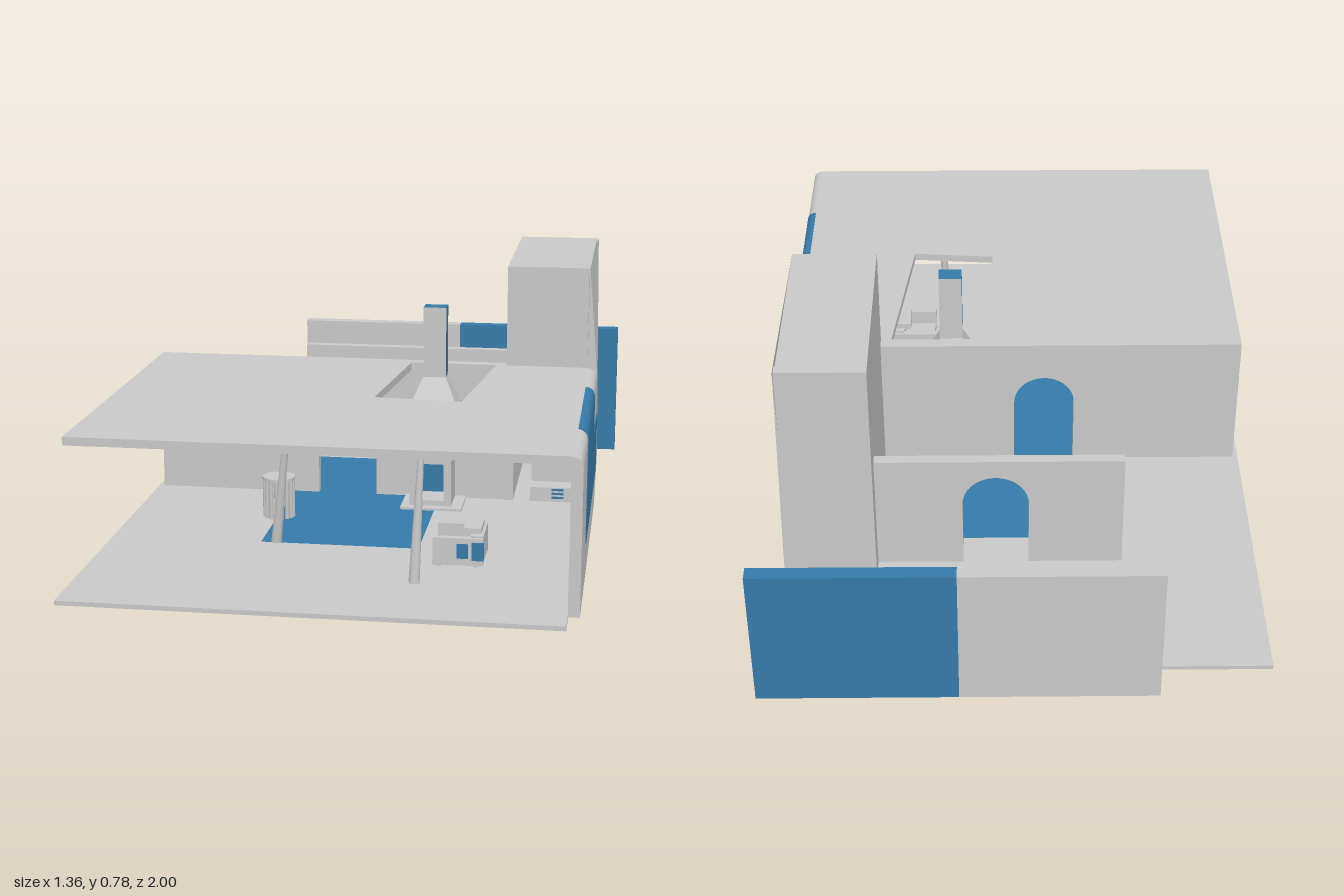
import * as THREE from 'three';

const grey = new THREE.MeshStandardMaterial({ color: 0xc8c8c8 });
grey.name = 'plaster grey';
const blue = new THREE.MeshStandardMaterial({ color: 0x367aa8 });
blue.name = 'accent blue';

export function createModel() {
  const model = new THREE.Group();
  model.name = 'house';

  const add = (name, geo, mat = grey, parent = model) => {
    const m = new THREE.Mesh(geo, mat);
    m.name = name;
    parent.add(m);
    return m;
  };
  // box from min/max limits
  const box = (name, x0, x1, y0, y1, z0, z1, mat = grey, parent = model) => {
    const g = new THREE.BoxGeometry(x1 - x0, y1 - y0, z1 - z0);
    g.translate((x0 + x1) / 2, (y0 + y1) / 2, (z0 + z1) / 2);
    return add(name, g, mat, parent);
  };
  const poly = pts => pts.map(p => new THREE.Vector2(...p));
  const extrude = (shape, depth) =>
    new THREE.ExtrudeGeometry(shape, { depth, bevelEnabled: false, curveSegments: 12 });
  // horizontal slab: outline in x,z, top at y
  const slab = (name, outline, hole, top, depth) => {
    const s = new THREE.Shape(poly(outline));
    s.holes.push(new THREE.Path(poly(hole)));
    add(name, extrude(s, depth).rotateX(Math.PI / 2).translate(0, top, 0));
  };
  const rect = (x0, x1, z0, z1) => [[x0, z0], [x1, z0], [x1, z1], [x0, z1]];
  // upright wall with a round-headed doorway
  const archWall = (name, x0, x1, y1, z0, z1, a0, a1, top) => {
    const s = new THREE.Shape(), r = (a1 - a0) / 2, y0 = 0.076;
    s.moveTo(x0, y0);
    s.lineTo(a0, y0);
    s.lineTo(a0, top - r);
    s.absarc((a0 + a1) / 2, top - r, r, Math.PI, 0, true);
    s.lineTo(a1, y0);
    s.lineTo(x1, y0);
    s.lineTo(x1, y1);
    s.lineTo(x0, y1);
    add(name, extrude(s, z1 - z0).translate(0, 0, z0));
  };

  // Floor with its inlaid panel
  slab('floor', rect(-0.68, 0.61, -0.97, 1), rect(-0.26, 0.18, -0.45, 0.45), 0.077, 0.012);
  box('floorPanel', -0.26, 0.18, 0.065, 0.077, -0.45, 0.45, blue);

  // Walls
  box('gardenWall', -0.385, 0.145, 0, 0.42, -1, -0.96);
  box('gardenWallPanel', 0.145, 0.68, 0, 0.42, -1, -0.96, blue);
  archWall('middleWall', -0.305, 0.38, 0.43, -0.55, -0.52, -0.045, 0.137, 0.375);
  archWall('rearWall', -0.665, 0.4, 0.466, -0.085, -0.055, -0.185, -0.01, 0.372);

  // Roof with a skewed opening
  slab('roof', rect(-0.665, 0.6, -0.085, 0.93),
    [[0.345, -0.05], [0.29, 0.415], [0.05, 0.395], [0.095, -0.05]], 0.487, 0.022);

  // Side wall, rounded into the roof
  const side = new THREE.Shape();
  side.moveTo(0.61, 0.076);
  side.lineTo(0.64, 0.076);
  side.lineTo(0.64, 0.455);
  side.quadraticCurveTo(0.64, 0.487, 0.605, 0.487);
  side.lineTo(0.6, 0.487);
  side.lineTo(0.6, 0.465);
  side.lineTo(0.61, 0.455);
  add('sideWall', extrude(side, 0.98).translate(0, 0, -0.05));

  // Painted panel on the side wall
  const paint = new THREE.Shape();
  paint.moveTo(0.638, 0.18);
  paint.lineTo(0.642, 0.18);
  paint.lineTo(0.642, 0.455);
  paint.quadraticCurveTo(0.642, 0.489, 0.615, 0.489);
  paint.lineTo(0.615, 0.485);
  paint.quadraticCurveTo(0.638, 0.485, 0.638, 0.455);
  add('sidePanelTall', extrude(paint, 0.46).translate(0, 0, 0.2), blue);
  box('sidePanelLow', 0.638, 0.642, 0.18, 0.355, -0.065, 0.2, blue);

  // Stair tower: shell, open toward the room
  const tower = new THREE.Group();
  tower.name = 'stairTower';
  model.add(tower);
  box('towerInnerWall', 0.375, 0.4, 0.076, 0.78, -0.62, -0.05, grey, tower);
  box('towerBack', 0.4, 0.615, 0.076, 0.78, -0.62, -0.59, grey, tower);
  box('towerTop', 0.4, 0.612, 0.755, 0.78, -0.59, -0.05, grey, tower);
  box('towerFront', 0.4, 0.61, 0.43, 0.755, -0.085, -0.05, grey, tower);
  // twisted outer skin, folded along a diagonal
  const A = [0.64, 0.076, -0.05], B = [0.64, 0.46, -0.05], C = [0.612, 0.78, -0.05];
  const D = [0.617, 0.78, -0.62], E = [0.63, 0.076, -0.62], F = [0.61, 0.46, -0.05];
  const G = [0.61, 0.076, -0.62];
  const tris = [A, E, D, A, D, B, B, D, C, F, B, C, E, G, D];
  const skin = new THREE.BufferGeometry();
  skin.setAttribute('position', new THREE.Float32BufferAttribute(tris.flat(), 3));
  skin.computeVertexNormals();
  const skinMat = grey.clone();
  skinMat.name = 'plaster grey skin';
  skinMat.side = THREE.DoubleSide;
  add('towerSkin', skin, skinMat, tower);

  // Stairs inside the tower
  [0.12, 0.19, 0.235, 0.27, 0.31, 0.345, 0.38].forEach((top, i) =>
    box('step', 0.45, 0.585, 0.076, top, -0.12 - i * 0.067, -0.05 - i * 0.067, grey, tower));
  for (let i = 0; i < 3; i++) {
    box('stepMark', 0.515, 0.55, 0.087 + i * 0.012, 0.093 + i * 0.012, -0.05, -0.047, blue, tower);
  }
  box('stepMark', 0.515, 0.55, 0.285, 0.308, -0.318, -0.315, blue, tower);

  // Fireplace: hearth, hood and chimney
  const fire = new THREE.Group();
  fire.name = 'fireplace';
  model.add(fire);
  box('hearth', 0.08, 0.26, 0.076, 0.084, -0.05, 0.09, grey, fire);
  for (const x of [0.105, 0.205]) box('fireboxPier', x, x + 0.022, 0.08, 0.235, -0.045, 0.065, grey, fire);
  box('fireboxBack', 0.127, 0.205, 0.08, 0.235, -0.045, -0.03, blue, fire);
  box('fireboxLintel', 0.127, 0.205, 0.21, 0.235, -0.03, 0.065, grey, fire);
  box('fireboxBase', 0.127, 0.205, 0.08, 0.1, -0.03, 0.065, grey, fire);
  box('mantel', 0.095, 0.25, 0.233, 0.24, -0.05, 0.072, grey, fire);
  box('hood', 0.107, 0.243, 0.24, 0.385, -0.045, 0.066, grey, fire);
  // tapering hood: a box whose top is pulled in to the chimney
  const taper = new THREE.BoxGeometry(1, 1, 1).toNonIndexed();
  const p = taper.attributes.position;
  for (let i = 0; i < p.count; i++) {
    const up = p.getY(i) > 0;
    p.setXYZ(i, 0.173 + p.getX(i) * (up ? 0.066 : 0.136), up ? 0.465 : 0.385,
      0.012 + p.getZ(i) * (up ? 0.05 : 0.11));
  }
  taper.computeVertexNormals();
  add('hoodTaper', taper, grey, fire);
  box('chimney', 0.14, 0.206, 0.46, 0.67, -0.013, 0.037, [blue, blue, blue, grey, grey, grey], fire);

  // Leaning tapered columns
  const column = (bottom, top) => {
    const a = new THREE.Vector3(...bottom), b = new THREE.Vector3(...top);
    const dir = b.clone().sub(a);
    const m = add('column', new THREE.CylinderGeometry(0.007, 0.015, dir.length(), 16));
    m.position.copy(a).add(b).multiplyScalar(0.5);
    m.quaternion.setFromUnitVectors(new THREE.Vector3(0, 1, 0), dir.normalize());
  };
  column([-0.22, 0.06, 0.44], [-0.172, 0.468, 0.48]);
  column([0.202, 0.06, 0.73], [0.218, 0.468, 0.7]);

  // Armchair
  const chair = new THREE.Group();
  chair.name = 'armchair';
  model.add(chair);
  box('seat', 0.24, 0.36, 0.09, 0.115, 0.47, 0.58, grey, chair);
  box('backrest', 0.335, 0.37, 0.09, 0.165, 0.46, 0.59, grey, chair);
  box('headrest', 0.315, 0.362, 0.16, 0.18, 0.48, 0.57, grey, chair);
  for (const z of [0.45, 0.58]) box('armrest', 0.235, 0.37, 0.085, 0.16, z, z + 0.02, grey, chair);
  box('armPanel', 0.3, 0.33, 0.105, 0.145, 0.6, 0.603, blue, chair);
  box('backPanel', 0.34, 0.372, 0.1, 0.15, 0.599, 0.603, blue, chair);
  for (const x of [0.25, 0.35]) for (const z of [0.47, 0.58]) {
    box('foot', x - 0.006, x + 0.006, 0.076, 0.092, z - 0.006, z + 0.006, grey, chair);
  }

  // Round slatted stool
  const stool = new THREE.Group();
  stool.name = 'slattedStool';
  stool.position.set(-0.258, 0.076, 0.2);
  model.add(stool);
  for (let i = 0; i < 16; i++) {
    const t = i / 16 * Math.PI * 2;
    add('slat', new THREE.CylinderGeometry(0.006, 0.006, 0.115, 8), grey, stool)
      .position.set(Math.cos(t) * 0.041, 0.0575, Math.sin(t) * 0.041);
  }
  add('stoolTop', new THREE.CylinderGeometry(0.047, 0.047, 0.008, 24), grey, stool).position.y = 0.116;

  return model;
}
